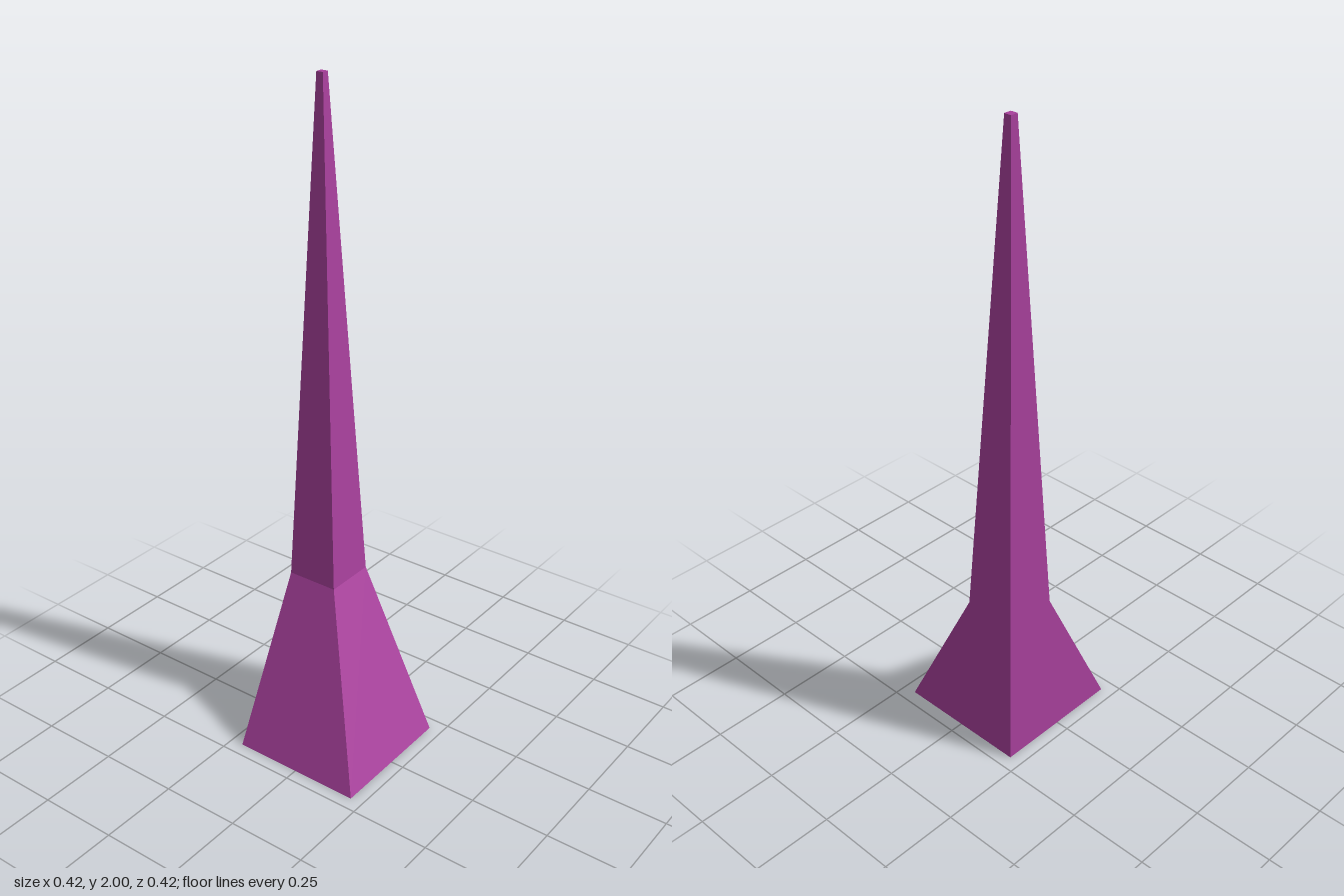
import * as THREE from 'three';

export function createModel() {
  const group = new THREE.Group();
  group.name = 'cornerSpike';

  const purple = new THREE.MeshStandardMaterial({ color: 0xa8409c });
  purple.name = 'purple';

  // Square cross-sections sharing one vertical corner edge: bottom, shoulder, tip
  const corner = -0.209;
  const rings = [
    { y: 0, size: 0.418 },
    { y: 0.5, size: 0.164 },
    { y: 2, size: 0.022 },
  ];

  // A unit box with two height segments, each level moved to its cross-section
  const box = new THREE.BoxGeometry(1, 1, 1, 1, 2, 1);
  const pos = box.attributes.position;
  for (let i = 0; i < pos.count; i++) {
    const { y, size } = rings[Math.round((pos.getY(i) + 0.5) * 2)];
    pos.setXYZ(i, corner + (pos.getX(i) + 0.5) * size, y, corner + (pos.getZ(i) + 0.5) * size);
  }

  // Separate facets for crisp flat faces
  const geometry = box.toNonIndexed();
  geometry.computeVertexNormals();

  const spike = new THREE.Mesh(geometry, purple);
  spike.name = 'spike';
  group.add(spike);
  return group;
}
